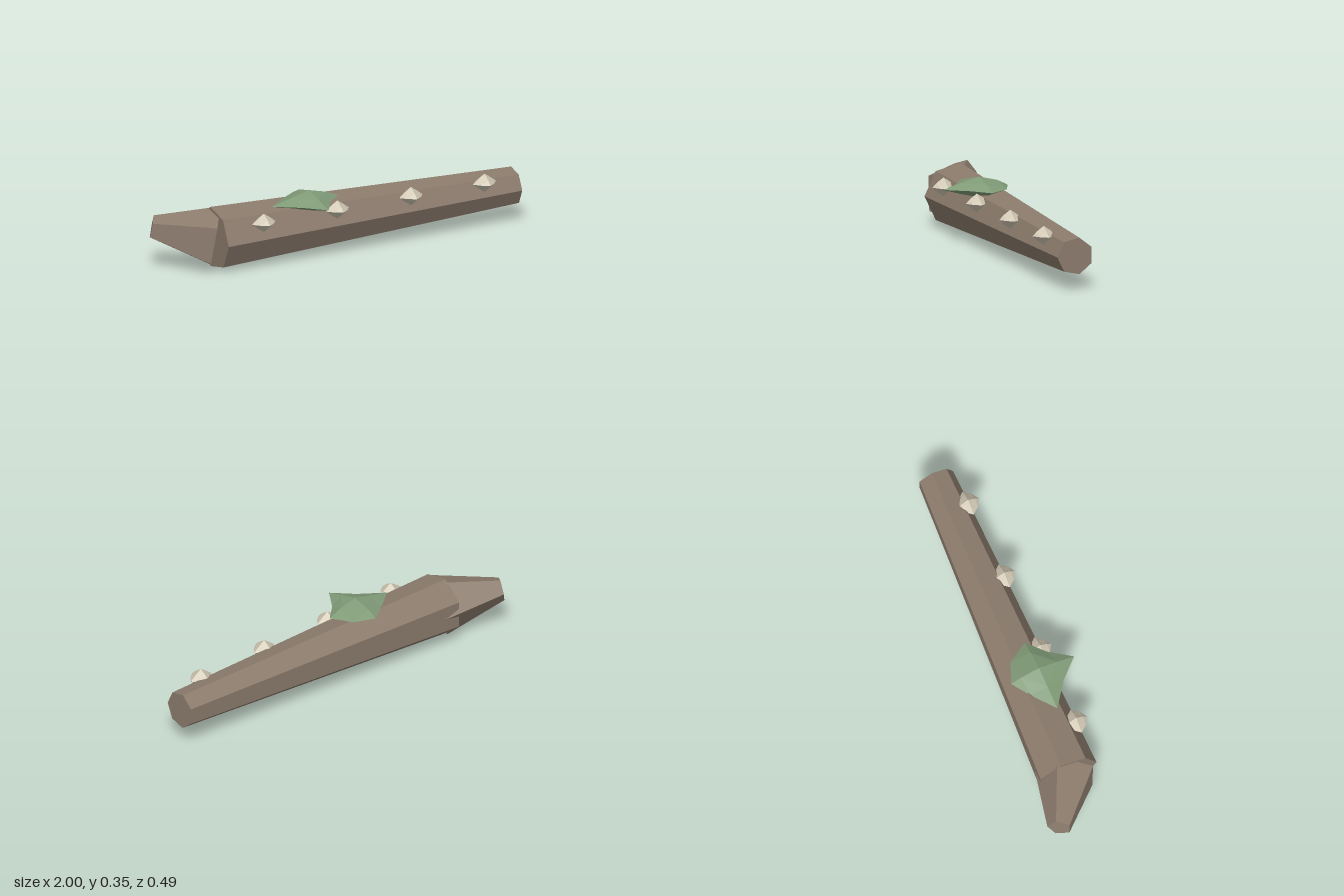
import * as THREE from 'three';

const material = (color) => new THREE.MeshStandardMaterial({ color, flatShading: true });

// Tapered prism from a to b, with its first corner pointing along the given side direction.
function taper(name, a, b, ra, rb, sides, side, mat) {
  const start = new THREE.Vector3(...a), end = new THREE.Vector3(...b);
  const along = end.clone().sub(start);
  const geo = new THREE.CylinderGeometry(rb, ra, along.length(), sides);
  const y = along.normalize();
  const x = new THREE.Vector3().crossVectors(y, new THREE.Vector3(...side)).normalize();
  const z = new THREE.Vector3().crossVectors(x, y);
  geo.applyMatrix4(new THREE.Matrix4().makeBasis(x, y, z));
  const mesh = new THREE.Mesh(geo, mat);
  mesh.name = name;
  mesh.position.copy(start).add(end).multiplyScalar(0.5);
  return mesh;
}

// Faceted flat clump: an octahedron split once, with eight rim radii (from +x towards +z),
// a ring of shoulders above and below, and pointed poles.
function clump(name, rim, shoulderRadius, shoulderHeight, height, mat) {
  const geo = new THREE.OctahedronGeometry(1, 1);
  const p = geo.attributes.position;
  for (let i = 0; i < p.count; i++) {
    const x = p.getX(i), y = p.getY(i), z = p.getZ(i);
    if (Math.abs(y) > 0.9) {
      p.setXYZ(i, 0, Math.sign(y) * height, 0);
      continue;
    }
    const angle = Math.atan2(z, x);
    const onRim = Math.abs(y) < 0.1;
    const k = (Math.round(angle / (Math.PI / 4)) + 8) % 8;
    const r = onRim ? rim[k] : shoulderRadius;
    p.setXYZ(i, r * Math.cos(angle), onRim ? 0 : Math.sign(y) * shoulderHeight, r * Math.sin(angle));
  }
  // Stretch the diagonals freely, then refresh the facets
  geo.computeVertexNormals();
  const mesh = new THREE.Mesh(geo, mat);
  mesh.name = name;
  return mesh;
}

export function createModel() {
  const model = new THREE.Group();
  model.name = 'fallenLog';
  const bark = material(0x8b7b6c);
  const fungus = material(0xcfc6b2);
  const moss = material(0x7f9a76);

  // Seven-sided trunk, thick at the right end
  model.add(taper('trunk', [-0.705, 0.158, -0.031], [0.995, 0.175, 0.034], 0.16, 0.096, 7, [0, 0, 1], bark));

  // Five-sided broken branch angled back from the thick end
  model.add(taper('branchStub', [-0.7, 0.158, -0.031], [-0.969, 0.213, -0.195], 0.162, 0.062, 5, [0.52, 0, -0.85], bark));

  // Moss patch on top
  const patch = clump('mossPatch', [0.17, 0.114, 0.193, 0.131, 0.215, 0.133, 0.155, 0.152], 0.1, 0.028, 0.053, moss);
  patch.position.set(-0.2, 0.299, 0.05);
  model.add(patch);

  // Row of small fungi along the front
  for (let i = 0; i < 4; i++) {
    const f = clump('fungus', [0.067, 0.052, 0.06, 0.052, 0.067, 0.052, 0.06, 0.052], 0.037, 0.023, 0.048, fungus);
    f.position.set(-0.5 + i * 0.427, 0.247, 0.115);
    model.add(f);
  }
  return model;
}
